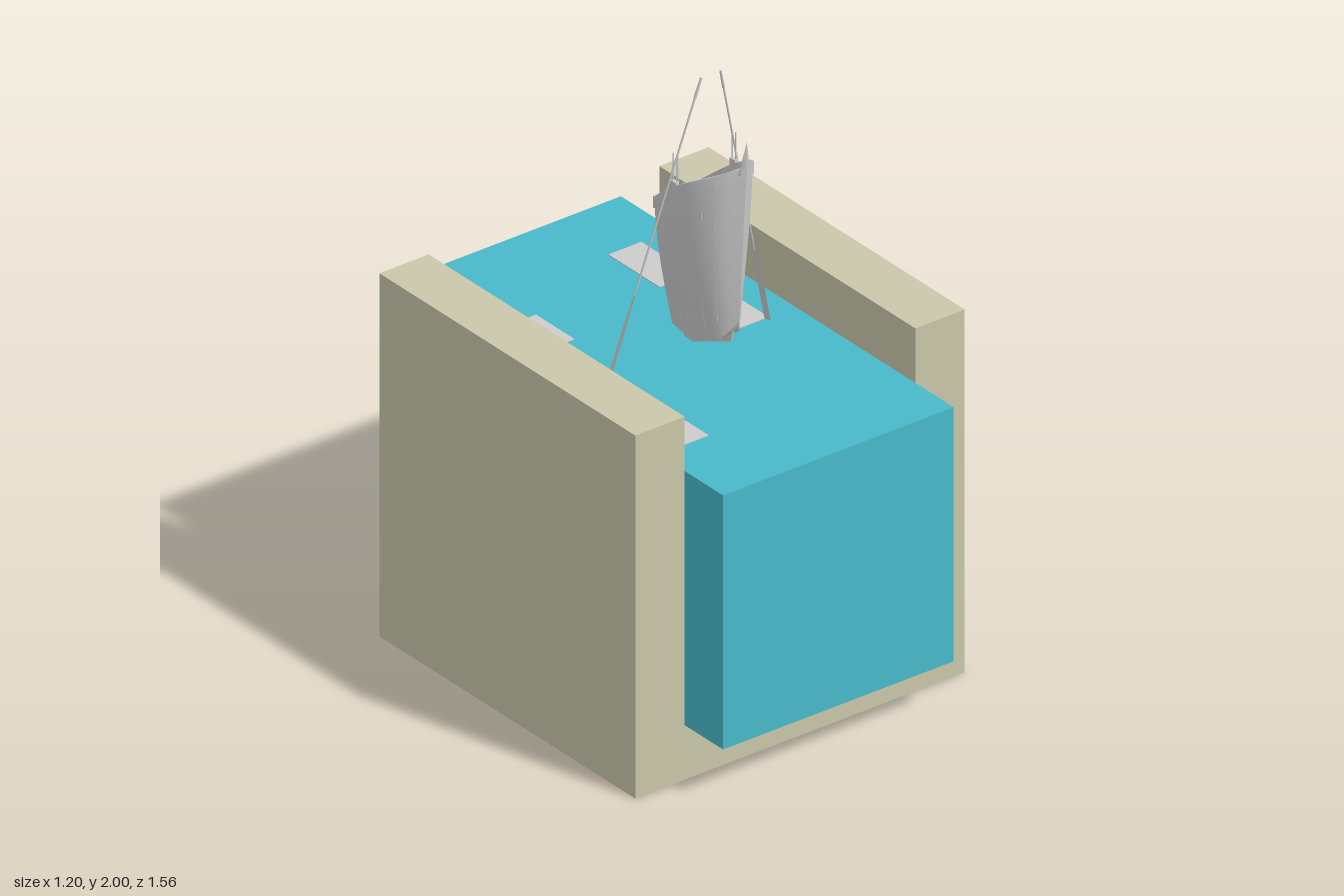
import * as THREE from 'three';
import { toCreasedNormals } from 'three/addons/utils/BufferGeometryUtils.js';

const grey = new THREE.MeshStandardMaterial({ color: 0xcccccc });
const greyThin = new THREE.MeshStandardMaterial({ color: 0xcccccc, side: THREE.DoubleSide });
const stone = new THREE.MeshStandardMaterial({ color: 0xcac6aa });
const water = new THREE.MeshStandardMaterial({ color: 0x48b9ca });

function add(parent, name, geometry, material, x = 0, y = 0, z = 0) {
  const mesh = new THREE.Mesh(geometry, material);
  mesh.name = name;
  mesh.position.set(x, y, z);
  parent.add(mesh);
  return mesh;
}
const box = (w, h, d) => new THREE.BoxGeometry(w, h, d);

// Skins a grid of rows of Vector3.
function loft(rows, crease = 0.6) {
  const n = rows[0].length, index = [];
  for (let i = 0; i < rows.length - 1; i++)
    for (let j = 0; j < n - 1; j++) {
      const a = i * n + j, b = a + n;
      index.push(a, b, a + 1, b, b + 1, a + 1);
    }
  const g = new THREE.BufferGeometry().setFromPoints(rows.flat());
  g.setIndex(index);
  return toCreasedNormals(g, crease);
}

// Round rod between two points.
function rod(parent, name, from, to, r0, r1 = r0) {
  const d = to.clone().sub(from);
  const m = add(parent, name, new THREE.CylinderGeometry(r1, r0, d.length(), 8), grey);
  m.position.copy(from).addScaledVector(d, 0.5);
  m.quaternion.setFromUnitVectors(new THREE.Vector3(0, 1, 0), d.normalize());
  return m;
}

// Hull lines: u runs from stern to bow, v from bottom to rim.
const plan = new THREE.CatmullRomCurve3([
  [0.088, 1.55, 0.03], [0.104, 1.6, 0.09], [0.111, 1.65, 0.155], [0.104, 1.69, 0.22],
  [0.065, 1.73, 0.295], [0, 1.76, 0.35],
].map(p => new THREE.Vector3(...p)));

function hullPoint(u, v, side = 1, inset = 0) {
  const rim = plan.getPoint(u);
  const bottom = 1.135 + 0.11 * u ** 4;
  const half = Math.max(0, rim.x - inset) * (0.48 + 0.52 * Math.sin(v * Math.PI / 2));
  const shift = THREE.MathUtils.lerp(0.025, -0.035, u) * (1 - v);
  return new THREE.Vector3(side * half, bottom + (rim.y - bottom) * v, rim.z + shift);
}

const steps = (n, f) => Array.from({ length: n + 1 }, (_, i) => f(i / n));

function makeBoat() {
  const boat = new THREE.Group();
  boat.name = 'rowingBoat';

  // Planked shell, open at the top
  add(boat, 'hull', loft(steps(24, u => [
    ...steps(10, t => hullPoint(u, 1 - t, -1)),
    ...steps(10, t => hullPoint(u, t, 1)),
  ])), greyThin);
  add(boat, 'transom', loft(steps(10, v => [hullPoint(0, v, -1), hullPoint(0, v, 1)])), greyThin);
  add(boat, 'innerFloor', loft(steps(16, u =>
    [-1, 1].map(s => hullPoint(u * 0.95, 0.12, s, 0.002)))), greyThin);

  // Rim with rectangular section along each side
  for (const s of [-1, 1]) {
    const rail = steps(24, u => {
      const p = plan.getPoint(u);
      const at = (dx, dy) => new THREE.Vector3(s * Math.max(0, p.x + dx), p.y + dy, p.z);
      return [at(0.005, -0.03), at(0.005, 0.006), at(-0.014, 0.006), at(-0.014, -0.03), at(0.005, -0.03)];
    });
    add(boat, 'gunwale', loft(rail), greyThin);
  }
  add(boat, 'transomCap', box(0.175, 0.035, 0.014), grey, 0, 1.54, 0.03);

  // Small bow deck
  add(boat, 'bowDeck', loft(steps(6, t => [-1, 1].map(s => {
    const p = plan.getPoint(0.8 + 0.2 * t);
    return new THREE.Vector3(s * p.x, p.y + 0.004, p.z);
  }))), greyThin);

  // Pointed stem head leaning to the front
  const stem = new THREE.ConeGeometry(0.022, 0.11, 4);
  const pos = stem.attributes.position;
  for (let i = 0; i < pos.count; i++)
    pos.setZ(i, pos.getZ(i) * 0.6 + (pos.getY(i) > 0 ? 0.013 : 0));
  stem.computeVertexNormals();
  add(boat, 'stemHead', stem, grey, 0, 1.795, 0.338);

  // Skeg and keel fin
  const fin = new THREE.Shape([[0.06, 1.08], [0.1, 1.08], [0.28, 1.16], [0.325, 1.37],
    [0.31, 1.3], [0.27, 1.2], [0.06, 1.16]].map(p => new THREE.Vector2(-p[0], p[1])));
  const keel = add(boat, 'keel', new THREE.ExtrudeGeometry(fin, { depth: 0.005, bevelEnabled: false }), grey, -0.0025);
  keel.rotation.y = Math.PI / 2;

  // Seats, ribs and centre plank
  const across = (name, u, v, height, depth) => {
    const p = hullPoint(u, v, 1, 0.003);
    add(boat, name, box(p.x * 2, height, depth), grey, 0, p.y, p.z);
  };
  across('sternSeat', 0.06, 0.72, 0.025, 0.022);
  across('middleSeat', 0.34, 0.86, 0.025, 0.02);
  across('bowSeat', 0.66, 0.8, 0.025, 0.022);
  for (let i = 0; i < 6; i++) {
    const u = 0.14 + i * 0.125;
    for (const s of [-1, 1]) {
      const curve = new THREE.CatmullRomCurve3(steps(5, t => hullPoint(u, 0.1 + 0.86 * t, s, 0.003)));
      add(boat, 'rib', new THREE.TubeGeometry(curve, 10, 0.0025, 5), grey);
    }
    across('floorRib', u, 0.13, 0.012, 0.006);
  }
  add(boat, 'centrePlank', box(0.008, 0.02, 0.23), grey, 0, 1.21, 0.175);
  rod(boat, 'sternPin', new THREE.Vector3(0, 1.2, 0.033), new THREE.Vector3(0, 1.66, 0.028), 0.002);

  // Oars and their forked rowlocks
  for (const s of [-1, 1]) {
    const at = t => new THREE.Vector3(s * (0.035 + 0.255 * t), 2 - 0.96 * t, 0.182 - 0.107 * t);
    const oar = new THREE.Group();
    oar.name = 'oar';
    boat.add(oar);
    rod(oar, 'handle', at(0.07), at(0), 0.0045, 0.0035);
    rod(oar, 'shaft', at(0.72), at(0.05), 0.003);
    add(oar, 'blade', loft(steps(8, t => {
      const c = at(0.68 + 0.32 * t), w = 0.003 + 0.007 * Math.min(1, t * 2.2);
      return [-1, 1].map(k => new THREE.Vector3(c.x + s * k * w * 0.35, c.y, c.z + k * w));
    })), greyThin);

    for (const dz of [-0.008, 0.008])
      rod(boat, 'rowlock', new THREE.Vector3(s * 0.108, 1.64, 0.152 + dz),
        new THREE.Vector3(s * 0.108, 1.76, 0.152 + dz), 0.002);
    add(boat, 'rowlockBase', box(0.012, 0.03, 0.026), grey, s * 0.108, 1.655, 0.152);
  }
  return boat;
}

export function createModel() {
  const model = new THREE.Group();
  model.name = 'boatOnChannel';

  // U-shaped channel
  const u = new THREE.Shape([[-0.6, 0], [0.6, 0], [0.6, 1.2], [0.42, 1.2], [0.42, 0.18],
    [-0.42, 0.18], [-0.42, 1.2], [-0.6, 1.2]].map(p => new THREE.Vector2(...p)));
  add(model, 'channel', new THREE.ExtrudeGeometry(u, { depth: 1.2, bevelEnabled: false }), stone, 0, 0, -0.6);

  // Block of water with flat floating sheets
  add(model, 'water', box(0.84, 0.84, 1.56), water, 0, 0.6, 0);
  for (const [x, z, d] of [[-0.26, -0.29, 0.18], [0.24, -0.41, 0.24], [0.26, -0.05, 0.18], [-0.3, 0.33, 0.3]])
    add(model, 'floatingSheet', box(0.12, 0.006, d), grey, x, 1.02, z);

  model.add(makeBoat());
  return model;
}
